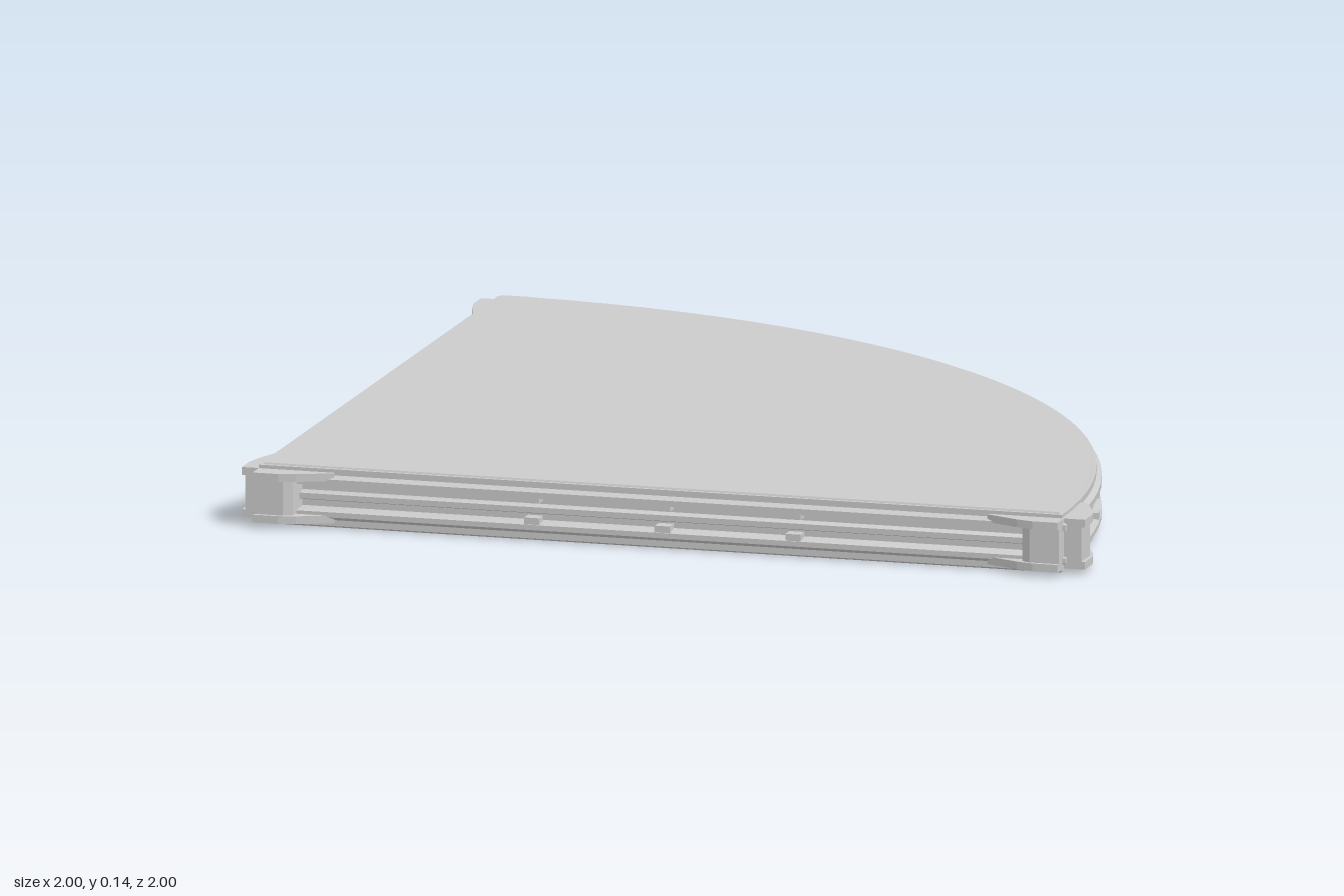
import * as THREE from 'three';
import { toCreasedNormals } from 'three/addons/utils/BufferGeometryUtils.js';

const CX = -0.96, CZ = 0.95, R = 1.905; // square corner and radius of the quarter disc
const ARC = 32;
const material = new THREE.MeshStandardMaterial({ color: 0xcccccc });

// Quarter-disc outline [x, z], grown outward by d
function outline(d) {
  const r = R + d, x0 = CX - d, z0 = CZ + d;
  const pts = [[x0, z0], [CX + r, z0]];
  for (let i = 0; i <= ARC; i++) {
    const a = (i / ARC) * Math.PI / 2;
    pts.push([Math.max(CX + r * Math.cos(a), x0), Math.min(CZ - r * Math.sin(a), z0)]);
  }
  pts.push([x0, CZ - r]);
  return pts;
}

// Solid through a stack of [offset, height] outlines, with flat caps
function loft(profile) {
  const pos = [], idx = [];
  for (const [d, y] of profile) for (const [x, z] of outline(d)) pos.push(x, y, z);
  const n = ARC + 4, last = (profile.length - 1) * n;
  for (let k = 0; k < profile.length - 1; k++) {
    for (let j = 0; j < n; j++) {
      const a = k * n + j, b = k * n + (j + 1) % n;
      idx.push(a, b, b + n, a, b + n, a + n);
    }
  }
  for (let j = 1; j < n - 1; j++) {
    idx.push(0, j + 1, j);
    idx.push(last, last + j, last + j + 1);
  }
  const g = new THREE.BufferGeometry();
  g.setAttribute('position', new THREE.Float32BufferAttribute(pos, 3));
  g.setIndex(idx);
  return toCreasedNormals(g, 0.4);
}

// Upright prism over a plan polygon of [x, z] points
function prism(points, y0, y1) {
  const shape = new THREE.Shape(points.map(([x, z]) => new THREE.Vector2(x, -z)));
  const g = new THREE.ExtrudeGeometry(shape, { depth: y1 - y0, bevelEnabled: false });
  return g.rotateX(-Math.PI / 2).translate(0, y0, 0);
}

export function createModel() {
  const root = new THREE.Group();
  const add = (name, geometry, parent = root) => {
    const m = new THREE.Mesh(geometry, material);
    m.name = name;
    parent.add(m);
    return m;
  };

  // Tile with edge rails, a recessed channel and a rib along its middle
  add('tile', loft([
    [-0.006, 0], [0, 0.004], [0, 0.018], [0.012, 0.026], [0.012, 0.038],
    [-0.022, 0.044], [-0.022, 0.058], [-0.004, 0.063], [-0.004, 0.076],
    [-0.022, 0.081], [-0.022, 0.096], [0.012, 0.1], [0.012, 0.114],
    [0, 0.122], [0, 0.136], [-0.008, 0.136], [-0.01, 0.14],
  ]));

  // Corner tabs: origin, direction along the edge, outward direction, reach
  const tabs = [
    [[-0.96, 0.95], [1, 0], [0, 1], 0.05],
    [[0.95, 0.95], [-1, 0], [0, 1], 0.05],
    [[-0.96, 0.95], [0, -1], [-1, 0], 0.04],
    [[-0.96, -0.955], [0, 1], [-1, 0], 0.04],
    [[0.945, 0.95], [0, -1], [1, 0], 0.055],
    [[-0.96, -0.955], [1, 0], [0, -1], 0.045],
  ];
  for (const [o, u, n, reach] of tabs) {
    const group = new THREE.Group();
    group.name = 'cornerTab';
    root.add(group);
    const plan = (pts) => pts.map(([a, b]) => [o[0] + u[0] * a + n[0] * b, o[1] + u[1] * a + n[1] * b]);
    const flange = plan([[0, -0.03], [0, reach], [0.06, reach], [0.1, reach * 0.8], [0.18, 0.006], [0.18, -0.03]]);
    const web = plan([[0, -0.04], [0, reach - 0.009], [0.07, reach - 0.009], [0.09, reach * 0.6], [0.1, -0.04]]);
    add('lowerFlange', prism(flange, 0.012, 0.03), group);
    add('web', prism(web, 0.03, 0.11), group);
    add('upperFlange', prism(flange, 0.11, 0.128), group);
  }

  // Small clips bridging the channel edges
  const clip = (x, z, angle) => {
    for (const y of [0.046, 0.096]) {
      const m = add('railClip', new THREE.BoxGeometry(0.036, 0.016, 0.034), root);
      m.position.set(x, y, z);
      m.rotation.y = angle;
    }
  };
  for (const t of [-0.31, 0, 0.31]) {
    clip(t, CZ - 0.007, 0);
    clip(CX + 0.007, t, Math.PI / 2);
  }
  for (let i = 1; i <= 6; i++) {
    const a = (i / 7) * Math.PI / 2;
    clip(CX + (R - 0.007) * Math.cos(a), CZ - (R - 0.007) * Math.sin(a), a + Math.PI / 2);
  }
  return root;
}
